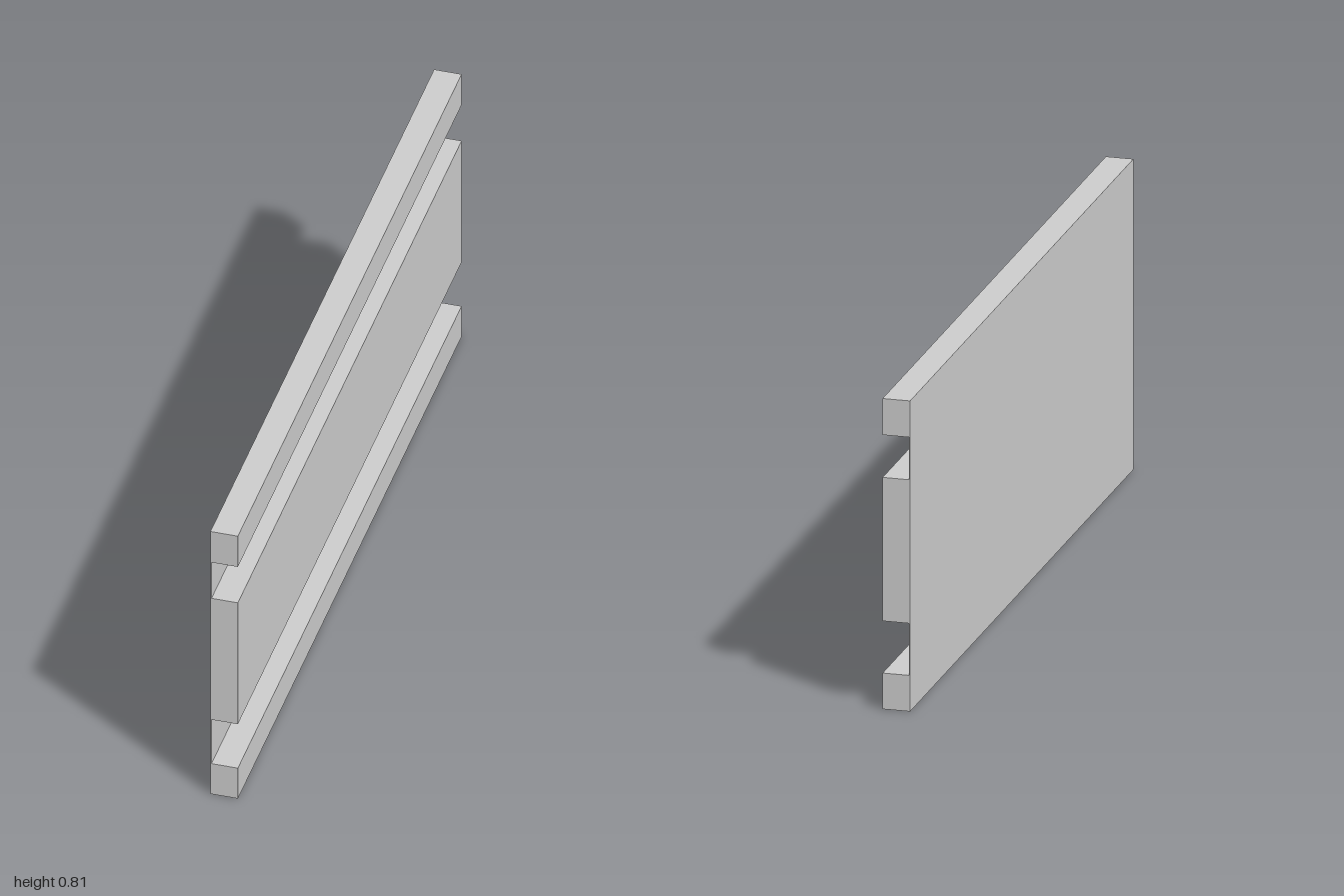
import * as THREE from 'three';

const LENGTH = 2;
const BACK = -0.0355, FRONT = 0.0355; // x of the flat back and the raised bands
const WEB = BACK + 0.003;             // x of the thin web between the bands
const HEIGHT = 0.811;
const GROOVES = [[0.094, 0.23], [0.605, 0.716]]; // bottom and top of each groove

export function createModel() {
  const group = new THREE.Group();
  group.name = 'groovedPanel';

  // Cross-section: flat back, three raised bands joined by thin webs
  const profile = new THREE.Shape();
  profile.moveTo(BACK, 0);
  profile.lineTo(FRONT, 0);
  for (const [low, high] of GROOVES) {
    profile.lineTo(FRONT, low);
    profile.lineTo(WEB, low);
    profile.lineTo(WEB, high);
    profile.lineTo(FRONT, high);
  }
  profile.lineTo(FRONT, HEIGHT);
  profile.lineTo(BACK, HEIGHT);
  profile.closePath();

  // Run the section along the full length
  const geometry = new THREE.ExtrudeGeometry(profile, { depth: LENGTH, bevelEnabled: false });
  geometry.translate(0, 0, -LENGTH / 2);

  const panel = new THREE.Mesh(
    geometry,
    new THREE.MeshStandardMaterial({ color: 0xcccccc, flatShading: true })
  );
  panel.name = 'panel';
  group.add(panel);
  return group;
}
